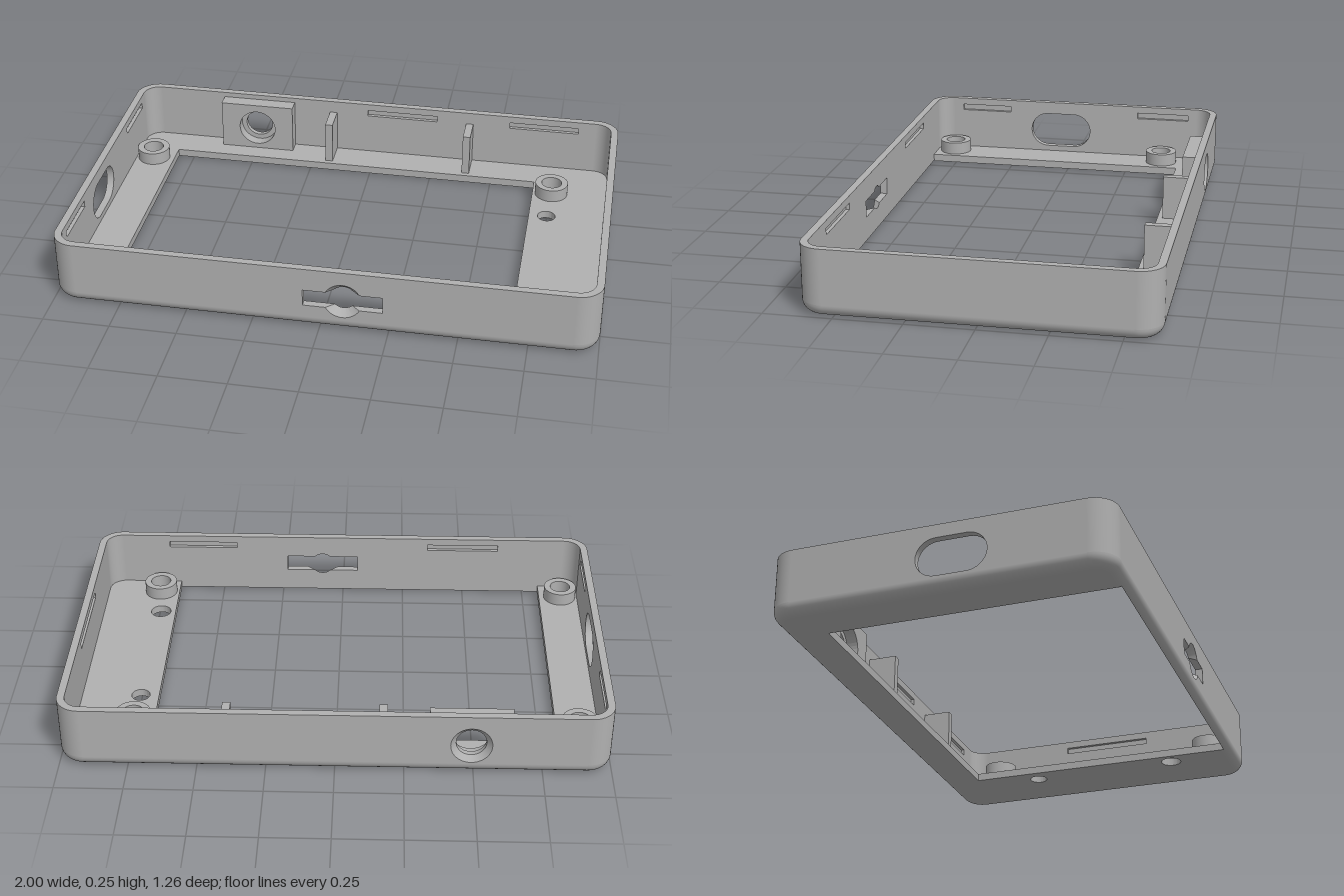
import * as THREE from 'three';
import { mergeGeometries, toCreasedNormals } from 'three/addons/utils/BufferGeometryUtils.js';

const HX = 1, HZ = 0.628, TOP = 0.25;        // outer half sizes and height
const R = 0.09, F = 0.045;                   // corner radius, bottom edge radius
const T = 0.028, FLOOR = 0.03;               // wall and floor thickness
const OPEN = { x0: -0.815, x1: 0.68, z: -0.47 };  // screen opening, runs to the front wall

const V = (x, y) => new THREE.Vector2(x, y);

// ---- outlines ----
const rect = (x0, y0, x1, y1) => [V(x0, y0), V(x1, y0), V(x1, y1), V(x0, y1)];

function arc(cx, cy, r, a0, a1, n) {
  return Array.from({ length: n + 1 }, (_, i) => {
    const a = a0 + (a1 - a0) * i / n;
    return V(cx + r * Math.cos(a), cy + r * Math.sin(a));
  });
}
const circle = (cx, cy, r) => arc(cx, cy, r, 0, Math.PI * 2, 40).slice(0, -1);

const stadium = (cx, cy, half, r) => [
  ...arc(cx + half - r, cy, r, -Math.PI / 2, Math.PI / 2, 18),
  ...arc(cx - half + r, cy, r, Math.PI / 2, Math.PI * 1.5, 18),
];

// card slot widened by a round finger notch
function notchedSlot(cx, cy, half, h, r) {
  const a = Math.asin(h / r);
  return [
    V(cx + half, cy - h), V(cx + half, cy + h),
    ...arc(cx, cy, r, a, Math.PI - a, 16),
    V(cx - half, cy + h), V(cx - half, cy - h),
    ...arc(cx, cy, r, Math.PI + a, Math.PI * 2 - a, 16),
  ];
}

// ---- surfaces ----
function face(outline, holes = [], z = 0) {
  const s = outline instanceof THREE.Shape ? outline : new THREE.Shape(outline);
  s.holes = holes.map(h => new THREE.Path(h));
  return new THREE.ShapeGeometry(s, 16).translate(0, 0, z);
}

// closed strip joining two outlines at two depths
function lining(a, za, b, zb) {
  const pos = [], idx = [], n = a.length;
  for (let i = 0; i < n; i++) {
    pos.push(a[i].x, a[i].y, za, b[i].x, b[i].y, zb);
    const p = 2 * i, q = 2 * ((i + 1) % n);
    idx.push(p, p + 1, q, q, p + 1, q + 1);
  }
  const g = new THREE.BufferGeometry();
  g.setAttribute('position', new THREE.Float32BufferAttribute(pos, 3));
  g.setIndex(idx);
  return toCreasedNormals(g, 0.6);
}

// turned profile with a sharp edge at each point
function turned(points, start = 0, length = Math.PI * 2, seg = 40) {
  return mergeGeometries(points.slice(1).map((p, i) =>
    new THREE.LatheGeometry([V(...points[i]), V(...p)], seg, start, length)));
}

// straight run of the rounded bottom edge
function bottomEdge(x0, x1, start = -Math.PI / 2) {
  return new THREE.CylinderGeometry(F, F, x1 - x0, 10, 1, true, start, -start)
    .rotateZ(Math.PI / 2).translate((x0 + x1) / 2, F, -F);
}

export function createModel() {
  const model = new THREE.Group();
  model.name = 'deviceCase';
  const grey = new THREE.MeshStandardMaterial({ color: 0xb0b0b0, side: THREE.DoubleSide });
  grey.name = 'greyPlastic';

  const add = (parent, name, geo) => {
    const m = new THREE.Mesh(geo, grey);
    m.name = name;
    parent.add(m);
    return m;
  };

  // Walls: local x runs along the wall, local z points outward, z = 0 is the outer face
  function wall(name, turn, dist, half, { cuts = [], grooves = [], front = false }) {
    const g = new THREE.Group();
    g.name = name;
    g.rotation.y = turn;
    g.position.set(Math.sin(turn) * dist, 0, Math.cos(turn) * dist);
    model.add(g);
    const L = half - R;
    const slots = grooves.map(([a, b]) => rect(a, 0.197, b, 0.222));

    add(g, name + 'OuterFace', face(rect(-L, F, L, TOP), cuts.map(c => c.outer)));

    // the front wall reaches down through the screen opening
    const clip = -Math.acos((F - T) / F);
    const low = F + F * Math.sin(clip);
    const inner = front
      ? [V(-L, FLOOR), V(OPEN.x0, FLOOR), V(OPEN.x0, low), V(OPEN.x1, low),
        V(OPEN.x1, FLOOR), V(L, FLOOR), V(L, TOP), V(-L, TOP)]
      : rect(-L, FLOOR, L, TOP);
    add(g, name + 'InnerFace', face(inner, [...cuts.map(c => c.inner), ...slots], -T));
    add(g, name + 'Rim', new THREE.PlaneGeometry(2 * L, T)
      .rotateX(-Math.PI / 2).translate(0, TOP, -T / 2));

    if (front) {
      add(g, name + 'BottomEdge', mergeGeometries([
        bottomEdge(-L, OPEN.x0), bottomEdge(OPEN.x0, OPEN.x1, clip), bottomEdge(OPEN.x1, L)]));
    } else add(g, name + 'BottomEdge', bottomEdge(-L, L));

    for (const c of cuts) if (!c.bare) add(g, name + 'CutoutEdge', lining(c.outer, 0, c.inner, -T));
    for (const s of slots) {
      add(g, 'snapGrooveSides', lining(s, -T, s, -T / 2));
      add(g, 'snapGrooveBack', face(s, [], -T / 2));
    }
    return g;
  }

  wall('frontWall', 0, HZ, HX, {
    front: true,
    cuts: [{
      outer: notchedSlot(0.085, 0.1275, 0.145, 0.0325, 0.07),
      inner: notchedSlot(0.085, 0.1275, 0.145, 0.0325, 0.045),
    }],
    grooves: [[-0.64, -0.35], [0.44, 0.72]],
  });
  wall('leftWall', Math.PI / 2, HX, HZ, { grooves: [[-0.2, 0.16]] });
  const port = stadium(0.06, 0.126, 0.13, 0.073);
  wall('rightWall', -Math.PI / 2, HX, HZ, {
    cuts: [{ outer: port, inner: port }],
    grooves: [[-0.5, -0.28], [0.285, 0.5]],
  });
  const jack = circle(0.49, 0.125, 0.075);
  const back = wall('backWall', Math.PI, HZ, HX, {
    cuts: [{ outer: jack, inner: jack, bare: true }],
    grooves: [[-0.26, 0.03], [-0.84, -0.56]],
  });

  // Socket block with a stepped bore through the back wall
  const block = new THREE.Shape(rect(0.34, FLOOR, 0.64, 0.23));
  block.holes.push(new THREE.Path(jack));
  add(back, 'socketBlock', new THREE.ExtrudeGeometry(block, { depth: 0.055, bevelEnabled: false })
    .translate(0, 0, -T - 0.055));
  add(back, 'socketBore', turned([[0.075, -0.04], [0.055, -0.04], [0.055, -0.02], [0.075, 0]])
    .rotateX(Math.PI / 2).translate(0.49, 0.125, 0));

  // Upright ribs behind the opening
  for (const x of [0.175, -0.395]) {
    add(back, 'rib', new THREE.BoxGeometry(0.03, 0.2 - FLOOR, 0.11)
      .translate(x, (0.2 + FLOOR) / 2, -T - 0.055));
  }

  // Rounded corners
  const fillet = arc(R - F, F, F, -Math.PI / 2, 0, 10);
  [[1, 1, 0], [1, -1, 1], [-1, -1, 2], [-1, 1, 3]].forEach(([sx, sz, k]) => {
    const a = k * Math.PI / 2, q = Math.PI / 2;
    const corner = new THREE.Group();
    corner.name = 'corner';
    corner.position.set(sx * (HX - R), 0, sz * (HZ - R));
    model.add(corner);
    add(corner, 'cornerBottomEdge', new THREE.LatheGeometry(fillet, 12, a, q));
    add(corner, 'cornerWall',
      turned([[R, F], [R, TOP], [R - T, TOP], [R - T, FLOOR]], a, q, 12));
  });

  // Floor plate, open toward the front wall
  function floorShape(inset) {
    const hx = HX - inset, hz = HZ - inset, r = R - inset, q = Math.PI / 2;
    const s = new THREE.Shape();
    s.moveTo(OPEN.x0, hz);
    s.lineTo(OPEN.x0, OPEN.z);
    s.lineTo(OPEN.x1, OPEN.z);
    s.lineTo(OPEN.x1, hz);
    s.absarc(hx - r, hz - r, r, q, 0, true);
    s.absarc(hx - r, r - hz, r, 0, -q, true);
    s.absarc(r - hx, r - hz, r, -q, -2 * q, true);
    s.absarc(r - hx, hz - r, r, 2 * q, q, true);
    return s;
  }
  const holes = [circle(0.75, -0.22, 0.035), circle(0.74, 0.365, 0.04)];
  const floor = new THREE.Group();
  floor.name = 'floor';
  floor.rotation.x = Math.PI / 2;
  model.add(floor);
  add(floor, 'floorUnderside', face(floorShape(F), holes));
  add(floor, 'floorTop', face(floorShape(T), holes, -FLOOR));
  for (const h of holes) add(floor, 'floorHoleEdge', lining(h, 0, h, -FLOOR));

  // Edges of the screen opening
  const depth = HZ - T - OPEN.z;
  for (const x of [OPEN.x0, OPEN.x1]) {
    add(model, 'openingSideEdge', new THREE.PlaneGeometry(depth, FLOOR)
      .rotateY(x < 0 ? Math.PI / 2 : -Math.PI / 2).translate(x, FLOOR / 2, OPEN.z + depth / 2));
  }
  add(model, 'openingBackEdge', new THREE.PlaneGeometry(OPEN.x1 - OPEN.x0, FLOOR)
    .translate((OPEN.x0 + OPEN.x1) / 2, FLOOR / 2, OPEN.z));

  // Screw standoffs
  for (const x of [-0.9, 0.755]) for (const z of [-0.395, 0.52]) {
    add(model, 'standoff', turned([[0.065, FLOOR], [0.065, 0.08], [0.04, 0.08], [0.04, FLOOR]]))
      .position.set(x, 0, z);
  }

  return model;
}
